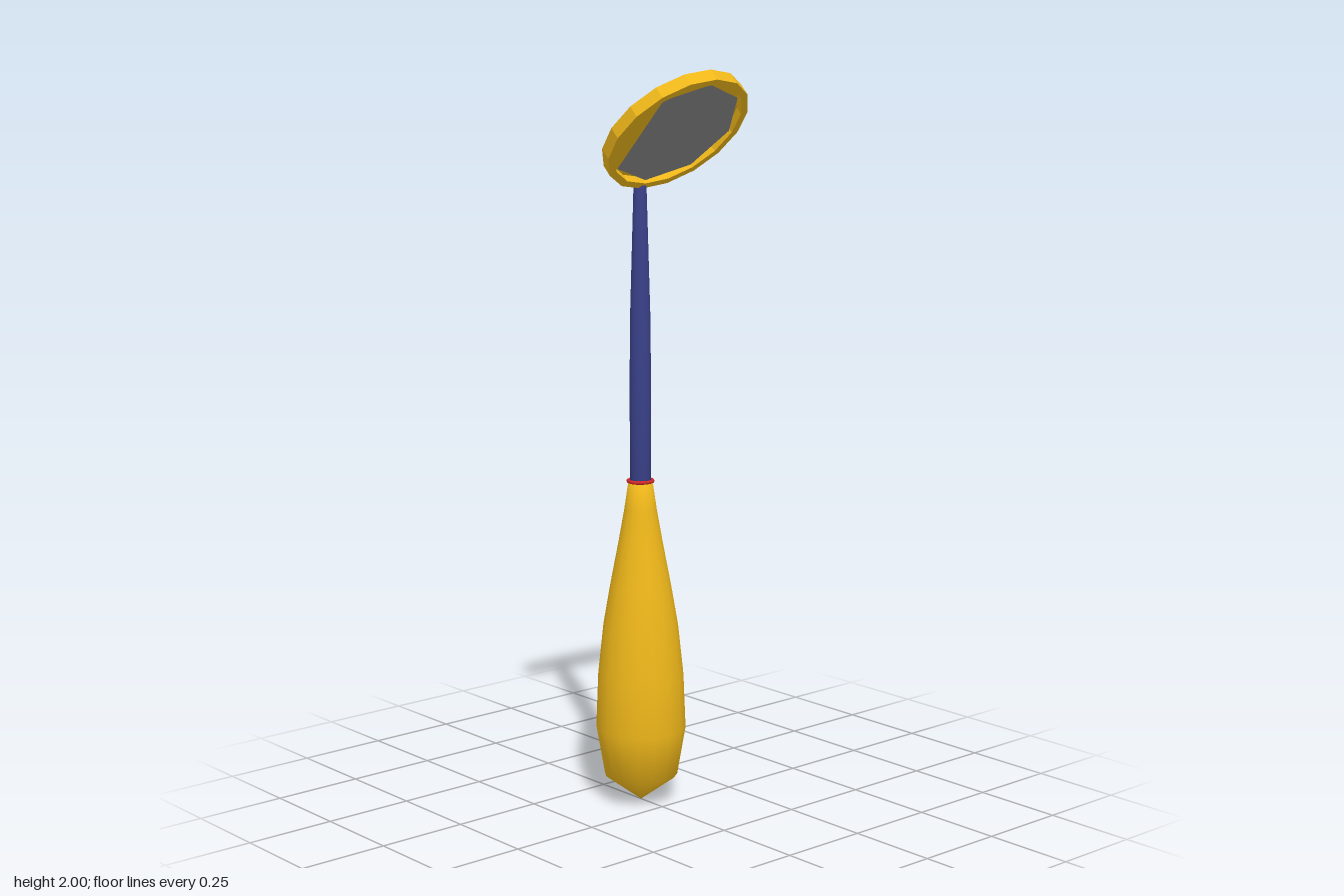
import * as THREE from 'three';

const SIDES = 16;
const STEM_Z = -0.089;

function createMesh(name, geometry, color, options = {}) {
  const mesh = new THREE.Mesh(geometry, new THREE.MeshStandardMaterial({ color, ...options }));
  mesh.name = name;
  return mesh;
}

// Turns [radius, height] pairs into a lathed solid
function lathe(points) {
  return new THREE.LatheGeometry(points.map(([r, y]) => new THREE.Vector2(r, y)), SIDES);
}

export function createModel() {
  const model = new THREE.Group();
  model.name = 'handMirror';

  // Handle, collar and shaft share one upright axis
  const stem = new THREE.Group();
  stem.name = 'stem';
  stem.position.z = STEM_Z;
  model.add(stem);

  stem.add(createMesh('handle', lathe([
    [0, 0], [0.1, 0.075], [0.123, 0.21], [0.117, 0.36], [0.102, 0.5],
    [0.083, 0.61], [0.06, 0.73], [0.044, 0.82], [0.033, 0.895], [0, 0.895],
  ]), 0xf0b81a));

  const collar = createMesh('collar', new THREE.TorusGeometry(0.033, 0.005, 8, 24), 0xd02828);
  collar.rotation.x = Math.PI / 2;
  collar.position.y = 0.898;
  stem.add(collar);

  stem.add(createMesh('shaft', lathe([
    [0, 0.89], [0.028, 0.89], [0.029, 1.15], [0.027, 1.35], [0.017, 1.7], [0, 1.712],
  ]), 0x3a4189));

  // Head tilted forward at 45 degrees, its open side facing forward and down
  const head = new THREE.Group();
  head.name = 'head';
  head.position.set(0, 1.842, 0.052);
  head.rotation.x = -Math.PI / 4;
  model.add(head);

  // Shallow dish with a raised rim
  const outer = 0.206, inner = 0.186, half = 0.0175;
  head.add(createMesh('headFrame', lathe([
    [0, 0.005], [inner, 0.005], [inner, -half], [outer, -half], [outer, half], [0, half],
  ]), 0xf0b81a, { flatShading: true }));

  // Mirror plate: an octagon with its right corner cut off
  const corners = [];
  for (let i = -3; i <= 3; i++) {
    const a = (i * Math.PI) / 4;
    corners.push(new THREE.Vector2(0.18 * Math.cos(a), 0.18 * Math.sin(a)));
  }
  const mirror = createMesh('mirrorPlate', new THREE.ShapeGeometry(new THREE.Shape(corners)),
    0x888888, { side: THREE.DoubleSide });
  mirror.rotation.x = Math.PI / 2;
  mirror.position.y = -0.011;
  head.add(mirror);

  return model;
}
